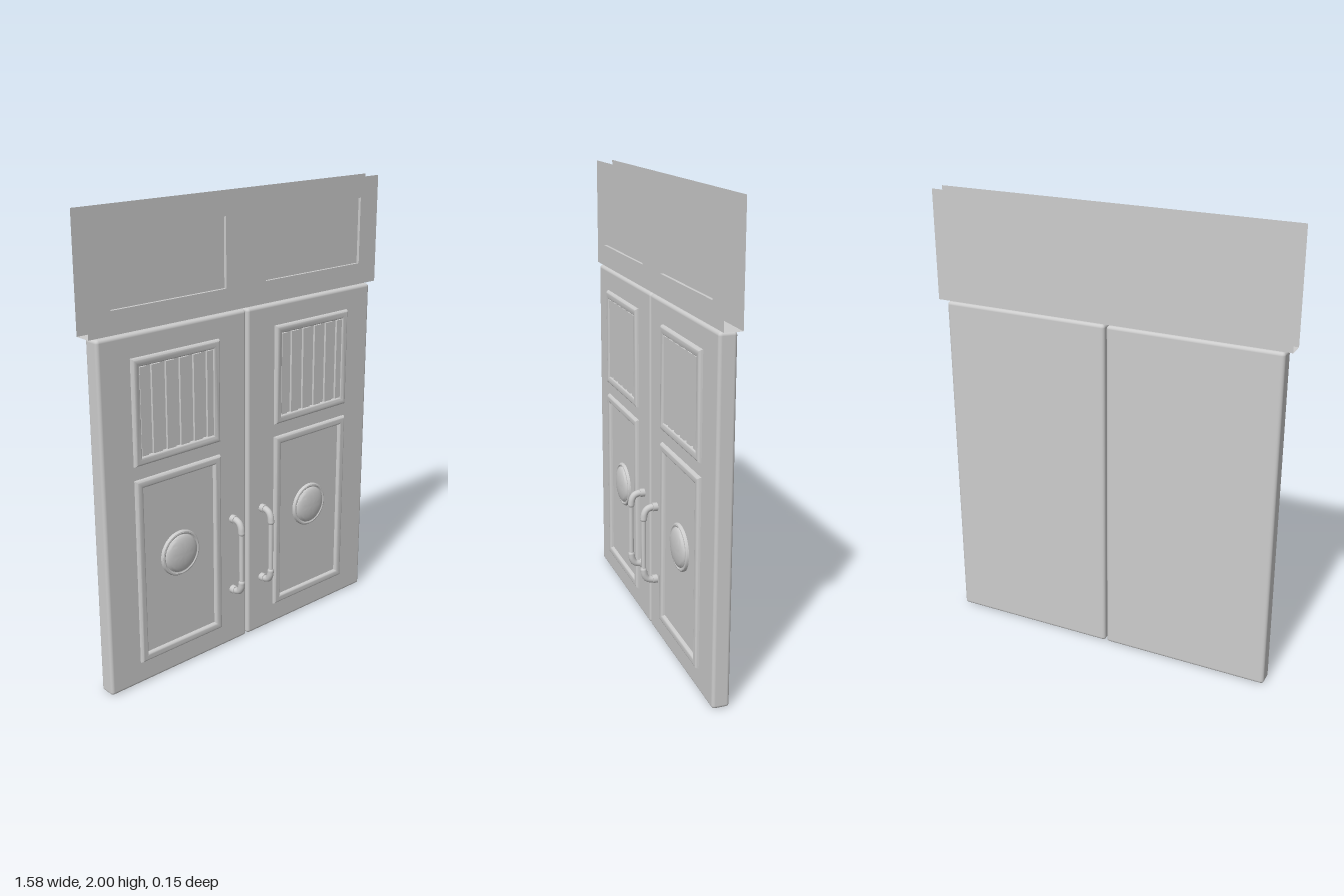
import * as THREE from 'three';
import { RoundedBoxGeometry } from 'three/addons/geometries/RoundedBoxGeometry.js';
import { toCreasedNormals } from 'three/addons/utils/BufferGeometryUtils.js';

const grey = new THREE.MeshStandardMaterial({ color: 0xcccccc });
const sheet = new THREE.MeshStandardMaterial({ color: 0xcccccc, side: THREE.DoubleSide });
const FACE = 0.003; // z of the door fronts

function add(parent, name, geometry, x = 0, y = 0, z = 0, material = grey) {
  const mesh = new THREE.Mesh(geometry, material);
  mesh.name = name;
  mesh.position.set(x, y, z);
  parent.add(mesh);
  return mesh;
}

function rectangle(w, h, Type = THREE.Shape) {
  return new Type([[-1, -1], [1, -1], [1, 1], [-1, 1]].map(([x, y]) => new THREE.Vector2(x * w / 2, y * h / 2)));
}

// Raised moulding with rounded inner and outer edges
function frameGeometry(w, h, border, height) {
  const b = 0.012;
  const shape = rectangle(w - 2 * b, h - 2 * b);
  shape.holes.push(rectangle(w - 2 * border + 2 * b, h - 2 * border + 2 * b, THREE.Path));
  const g = new THREE.ExtrudeGeometry(shape, {
    depth: 0.012, bevelEnabled: true, bevelSize: b, bevelThickness: height, bevelSegments: 4,
  });
  g.translate(0, 0, -0.012); // front of the moulding ends at z = height
  return toCreasedNormals(g, 0.7);
}

// Header: open sleeve with front, back and floor, and two recessed panels
function createHeader() {
  const header = new THREE.Group();
  header.name = 'header';
  const w = 1.58, bottom = 1.525, h = 2 - bottom, mid = bottom + h / 2, back = -0.075;
  const panelW = 0.572, panelH = 0.29, panelY = 1.765, depth = 0.013;
  const front = rectangle(w, h);
  for (const x of [-0.398, 0.394]) {
    const hole = [[-1, -1], [-1, 1], [1, 1], [1, -1]].map(([sx, sy]) =>
      new THREE.Vector2(x + sx * panelW / 2, panelY - mid + sy * panelH / 2));
    front.holes.push(new THREE.Path(hole));
    // Box without its front face
    const tray = new THREE.BoxGeometry(panelW, panelH, depth);
    const index = Array.from(tray.index.array);
    index.splice(24, 6);
    tray.setIndex(index);
    tray.clearGroups();
    add(header, 'recessedPanel', tray, x, panelY, -depth / 2, sheet);
  }
  add(header, 'headerFront', new THREE.ShapeGeometry(front), 0, mid, 0, sheet);
  add(header, 'headerBack', new THREE.PlaneGeometry(w, h).rotateY(Math.PI), 0, mid, back, sheet);
  add(header, 'headerFloor', new THREE.PlaneGeometry(w, -back).rotateX(Math.PI / 2), 0, bottom, back / 2, sheet);
  return header;
}

// Pull handle: slim bar between two thicker elbows
function createHandle() {
  const handle = new THREE.Group();
  handle.name = 'handle';
  const reach = 0.061, half = 0.17;
  add(handle, 'handleBar', new THREE.CylinderGeometry(0.011, 0.011, 2 * half - 0.06, 12), 0, 0, reach);
  for (const s of [-1, 1]) {
    const path = new THREE.CatmullRomCurve3([
      [half, -0.005], [half, 0.025], [half - 0.008, 0.046], [half - 0.026, 0.057], [half - 0.05, reach],
    ].map(([y, z]) => new THREE.Vector3(0, s * y, z)));
    add(handle, 'handleElbow', new THREE.TubeGeometry(path, 16, 0.015, 12));
    add(handle, 'handleElbowEnd', new THREE.SphereGeometry(0.015, 12, 8), 0, s * (half - 0.05), reach);
    add(handle, 'handleFoot', new THREE.CylinderGeometry(0.0185, 0.0185, 0.022, 16).rotateX(Math.PI / 2), 0, s * half, 0.011);
  }
  return handle;
}

// Door leaf, its origin at the middle of the mouldings; side is +1 or -1
function createDoor(side) {
  const door = new THREE.Group();
  door.name = side > 0 ? 'leftDoor' : 'rightDoor';
  const w = 0.752, h = 1.518, t = 0.074;
  add(door, 'leaf', new RoundedBoxGeometry(w, h, t, 4, 0.014), -side * 0.002, h / 2, FACE - t / 2);

  // Upper slatted vent
  const ventY = 1.2;
  add(door, 'ventFrame', frameGeometry(0.447, 0.444, 0.038, 0.015), 0, ventY, FACE);
  for (let i = -2; i <= 3; i++) {
    const end = i === -2 || i === 3;
    const width = end ? 0.032 : 0.044;
    const x = end ? Math.sign(i) * 0.17 : (i - 0.5) * 0.0705;
    add(door, 'ventSlat', new THREE.BoxGeometry(width, 0.366, 0.016), x, ventY, FACE + 0.002);
  }

  // Lower framed panel
  add(door, 'panelFrame', frameGeometry(0.447, 0.82, 0.038, 0.015), 0, 0.51, FACE);

  // Round boss: stepped rim around a shallow dome
  const boss = [[0.101, -0.005], [0.101, 0.006], [0.097, 0.012], [0.091, 0.013], [0.086, 0.009]];
  for (let i = 0; i <= 8; i++) {
    const a = i / 8 * Math.PI / 2;
    boss.push([0.084 * Math.cos(a), 0.009 + 0.021 * Math.sin(a)]);
  }
  const lathe = new THREE.LatheGeometry(boss.map(([r, z]) => new THREE.Vector2(Math.max(r, 0), z)), 32);
  add(door, 'roundBoss', toCreasedNormals(lathe.rotateX(Math.PI / 2), 0.8), 0, 0.538, FACE);

  const handle = createHandle();
  handle.position.set(-side * 0.294, 0.434, FACE);
  door.add(handle);
  door.position.x = side > 0 ? 0.38 : -0.384;
  return door;
}

export function createModel() {
  const model = new THREE.Group();
  model.name = 'doubleDoor';
  model.add(createHeader(), createDoor(1), createDoor(-1));
  return model;
}
